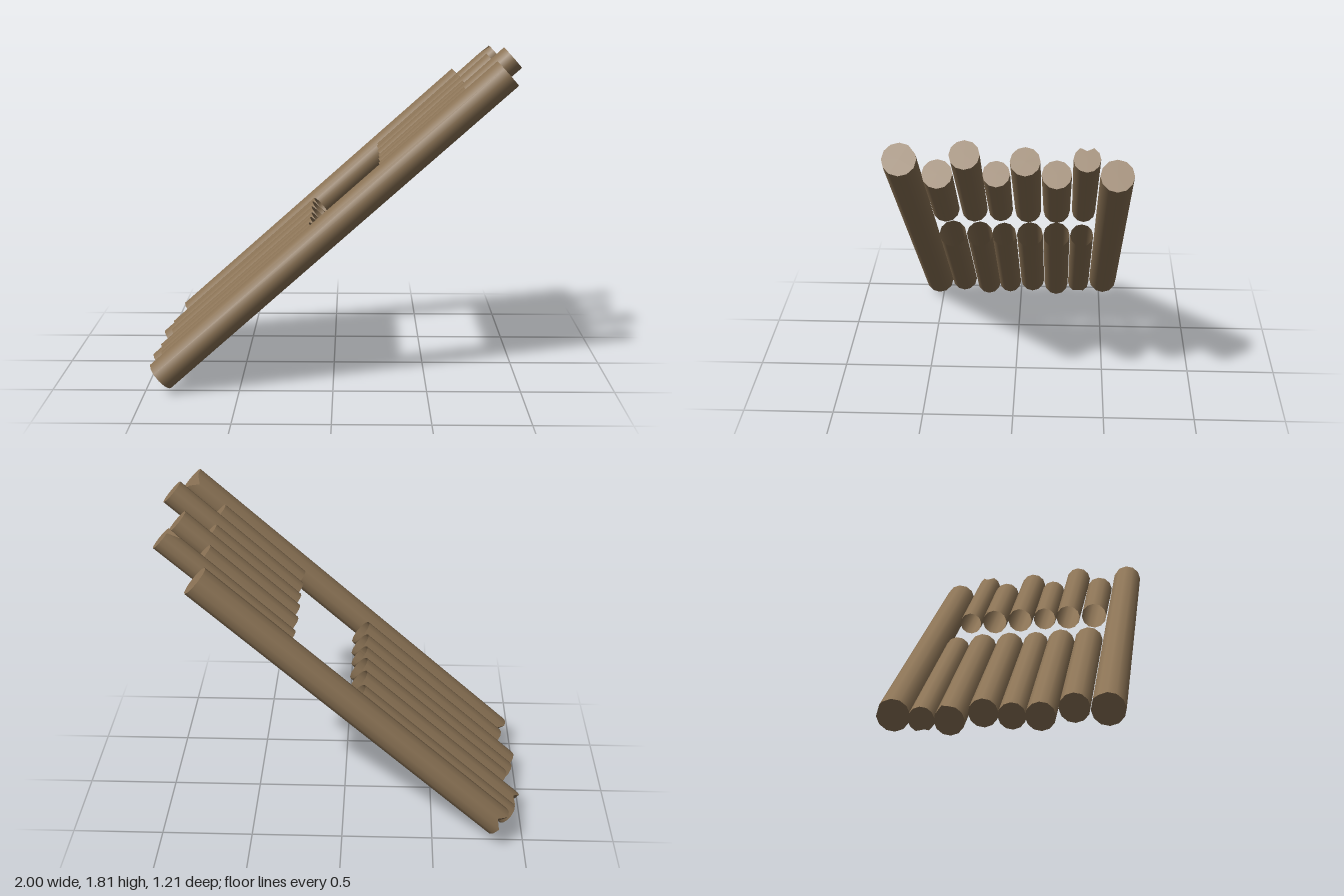
import * as THREE from 'three';

const SIDES = 12;

export function createModel() {
  const bark = new THREE.MeshStandardMaterial({ color: 0x8b7355, side: THREE.DoubleSide });
  bark.name = 'bark brown';

  // One log lying along local y; open ends are left hollow, notches chip a rim corner.
  function log(name, z, r0, r1, y0, y1, { openBottom, openTop, notches = [] } = {}) {
    const group = new THREE.Group();
    group.name = name;
    const h = y1 - y0;
    const side = new THREE.CylinderGeometry(r1, r0, h, SIDES, 1, true);
    side.translate(0, (y0 + y1) / 2, 0);
    const geos = [['bark', side]];
    for (const [open, y, r, dir, part] of [[openBottom, y0, r0, 1, 'bottomEnd'], [openTop, y1, r1, -1, 'topEnd']]) {
      if (open) continue;
      const cap = new THREE.CircleGeometry(r, SIDES);
      cap.rotateX(dir * Math.PI / 2);
      cap.translate(0, y, 0);
      geos.push([part, cap]);
    }
    for (const [part, geo] of geos) {
      const p = geo.attributes.position;
      for (let i = 0; i < p.count; i++) {
        const x = p.getX(i), zz = p.getZ(i), y = p.getY(i);
        if (Math.hypot(x, zz) < 0.01) continue;
        for (const [end, degrees, depth] of notches) {
          const a = THREE.MathUtils.degToRad(degrees);
          const near = (x * Math.sin(a) + zz * Math.cos(a)) / Math.hypot(x, zz) > 0.97;
          if (near && Math.abs(y - (end > 0 ? y1 : y0)) < 1e-4) p.setY(i, y - end * depth);
        }
      }
      const mesh = new THREE.Mesh(geo, bark);
      mesh.name = part;
      group.add(mesh);
    }
    group.position.z = z;
    return group;
  }

  const raft = new THREE.Group();
  raft.name = 'slopingLogRaft';

  // Thick full-length side logs
  raft.add(log('leftRailLog', 0.523, 0.084, 0.084, -1.227, 1.192,
    { notches: [[1, -150, 0.04], [-1, -150, 0.04]] }));
  raft.add(log('rightRailLog', -0.52, 0.084, 0.084, -1.15, 0.987,
    { notches: [[-1, -150, 0.05]] }));

  // Inner logs, cut through to leave a square opening: z, radius, bottom, top, notches
  const inner = [
    [0.36, 0.076, -1.183, 0.978, []],
    [0.208, 0.073, -1.276, 1.271, []],
    [0.07, 0.068, -1.25, 0.991, []],
    [-0.075, 0.073, -1.187, 1.185, []],
    [-0.225, 0.074, -1.271, 0.992, [[-1, -120, 0.04]]],
    [-0.367, 0.065, -1.232, 1.232, [[1, -90, 0.07], [-1, 90, 0.04]]],
  ];
  inner.forEach(([z, r, bottom, top, notches], i) => {
    raft.add(log(`lowerLog${i + 1}`, z, r, r, bottom, -0.107,
      { openTop: true, notches: notches.filter(n => n[0] < 0) }));
    raft.add(log(`upperLog${i + 1}`, z, r * 0.94, r, 0.383, top,
      { openBottom: true, notches: notches.filter(n => n[0] > 0) }));
  });

  // Lean the whole row of logs
  raft.rotation.z = THREE.MathUtils.degToRad(-48.2);
  raft.position.y = 0.907;

  const model = new THREE.Group();
  model.name = 'logBridge';
  model.add(raft);
  return model;
}
